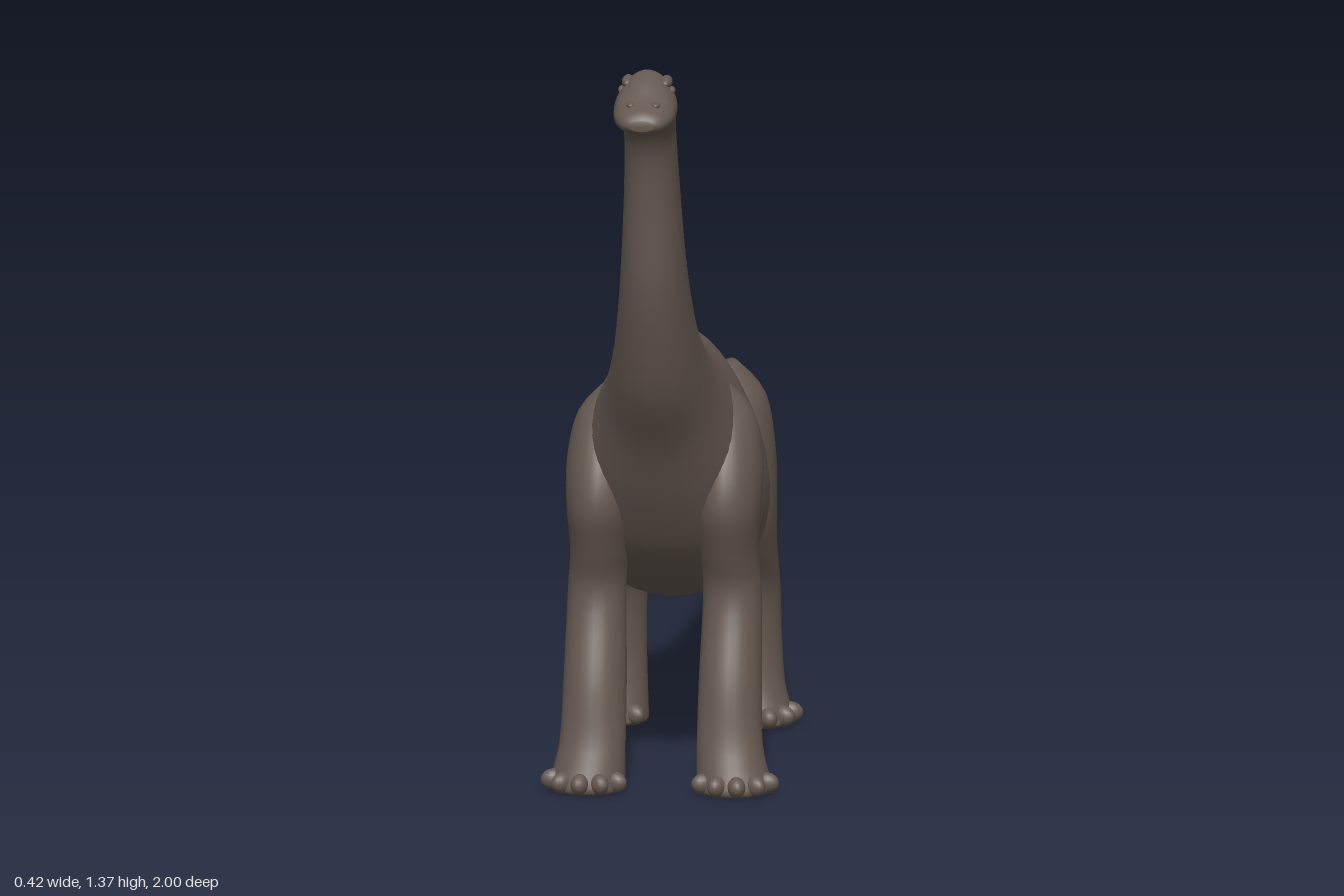
import * as THREE from 'three';

// Catmull-Rom interpolation between rows of numbers
function smoothRows(rows, steps) {
  const out = [];
  for (let i = 0; i < rows.length - 1; i++) {
    const a = rows[Math.max(i - 1, 0)], b = rows[i];
    const c = rows[i + 1], d = rows[Math.min(i + 2, rows.length - 1)];
    for (let s = 0; s < steps; s++) {
      const t = s / steps;
      out.push(b.map((v, k) => {
        const linear = c[k] - a[k];
        const square = 2 * a[k] - 5 * v + 4 * c[k] - d[k];
        const cube = 3 * v - a[k] - 3 * c[k] + d[k];
        return v + 0.5 * t * (linear + t * (square + t * cube));
      }));
    }
  }
  out.push(rows[rows.length - 1]);
  return out;
}

// Closed skin over rings; point(row, angle) gives [x, y, z]
function loft(rows, sides, point) {
  const pos = [], index = [], n = rows.length;
  rows.forEach(r => {
    for (let j = 0; j < sides; j++) pos.push(...point(r, j / sides * Math.PI * 2));
  });
  for (let i = 0; i < n - 1; i++) {
    for (let j = 0; j < sides; j++) {
      const a = i * sides + j, b = i * sides + (j + 1) % sides;
      index.push(a, a + sides, b, b, a + sides, b + sides);
    }
  }
  // end caps
  [0, n - 1].forEach(i => {
    const p = point(rows[i], 0), q = point(rows[i], Math.PI);
    const centre = pos.length / 3;
    pos.push(...p.map((v, k) => (v + q[k]) / 2));
    for (let j = 0; j < sides; j++) {
      const a = i * sides + j, b = i * sides + (j + 1) % sides;
      index.push(centre, i ? b : a, i ? a : b);
    }
  });
  const g = new THREE.BufferGeometry();
  g.setAttribute('position', new THREE.Float32BufferAttribute(pos, 3));
  g.setIndex(index);
  g.computeVertexNormals();
  return g;
}

// Spine rows: top z, top y, bottom z, bottom y, half width, pear shape
const HEAD_AND_NECK = [
  [1.0, 1.308, 1.0, 1.29, 0.022, 0],
  [0.985, 1.322, 0.985, 1.279, 0.04, 0],
  [0.95, 1.337, 0.95, 1.275, 0.052, 0.1],
  [0.9, 1.365, 0.905, 1.272, 0.055, 0.2],
  [0.85, 1.368, 0.875, 1.255, 0.052, 0.15],
  [0.785, 1.32, 0.845, 1.2, 0.046, 0.05],
  [0.715, 1.19, 0.828, 1.1, 0.049, 0.05],
  [0.65, 1.03, 0.815, 0.97, 0.057, 0.08],
  [0.59, 0.92, 0.787, 0.86, 0.067, 0.1]
];
const TRUNK = [
  [0.54, 0.87, 0.74, 0.74, 0.08, 0.12],
  [0.48, 0.83, 0.67, 0.63, 0.1, 0.18],
  [0.43, 0.81, 0.6, 0.5, 0.13, 0.25],
  [0.38, 0.797, 0.53, 0.4, 0.153, 0.27],
  [0.33, 0.785, 0.44, 0.33, 0.168, 0.25],
  [0.27, 0.772, 0.335, 0.295, 0.166, 0.25],
  [0.2, 0.745, 0.23, 0.315, 0.15, 0.25],
  [0.12, 0.71, 0.12, 0.345, 0.135, 0.25],
  [0.04, 0.665, 0.03, 0.362, 0.105, 0.22]
];
const TAIL = [
  [-0.06, 0.61, -0.06, 0.375, 0.069, 0.2],
  [-0.18, 0.55, -0.16, 0.38, 0.049, 0.15],
  [-0.34, 0.47, -0.32, 0.356, 0.038, 0.1],
  [-0.5, 0.408, -0.49, 0.335, 0.029, 0],
  [-0.66, 0.375, -0.66, 0.329, 0.02, 0],
  [-0.8, 0.354, -0.79, 0.333, 0.012, 0],
  [-0.905, 0.327, -0.89, 0.314, 0.008, 0],
  [-0.957, 0.288, -0.945, 0.28, 0.006, 0],
  [-1.0, 0.205, -0.995, 0.205, 0.002, 0]
];

// Leg rows: y, centre x, centre z, radius x, radius z
const FRONT_LEG = [
  [0.71, 0.095, 0.45, 0.012, 0.03],
  [0.66, 0.105, 0.47, 0.05, 0.075],
  [0.58, 0.111, 0.49, 0.063, 0.1],
  [0.5, 0.113, 0.515, 0.06, 0.09],
  [0.42, 0.115, 0.508, 0.052, 0.07],
  [0.34, 0.12, 0.498, 0.052, 0.059],
  [0.2, 0.12, 0.538, 0.056, 0.062],
  [0.1, 0.121, 0.571, 0.058, 0.049],
  [0.05, 0.125, 0.58, 0.062, 0.056],
  [0.015, 0.13, 0.585, 0.067, 0.064],
  [0.003, 0.13, 0.585, 0.066, 0.063],
  [0, 0.13, 0.585, 0.06, 0.058]
];
const HIND_LEG = [
  [0.67, 0.085, 0.12, 0.012, 0.03],
  [0.61, 0.098, 0.12, 0.05, 0.078],
  [0.5, 0.108, 0.12, 0.058, 0.097],
  [0.4, 0.112, 0.12, 0.055, 0.085],
  [0.33, 0.115, 0.095, 0.051, 0.066],
  [0.25, 0.118, 0.052, 0.05, 0.054],
  [0.15, 0.12, 0.04, 0.05, 0.05],
  [0.07, 0.122, 0.042, 0.054, 0.053],
  [0.015, 0.128, 0.046, 0.062, 0.065],
  [0.003, 0.128, 0.046, 0.061, 0.064],
  [0, 0.128, 0.046, 0.056, 0.059]
];

export function createModel() {
  const model = new THREE.Group();
  model.name = 'longNeckedDinosaur';
  const skin = new THREE.MeshStandardMaterial({ color: 0x665a51 });
  skin.name = 'brown skin';

  const add = (parent, name, geometry) => {
    const mesh = new THREE.Mesh(geometry, skin);
    mesh.name = name;
    parent.add(mesh);
    return mesh;
  };
  const ball = new THREE.SphereGeometry(1, 16, 12);
  const blob = (parent, name, p, s, turn = 0) => {
    const mesh = add(parent, name, ball);
    mesh.position.set(...p);
    mesh.scale.set(...s);
    mesh.rotation.y = turn;
  };

  // one continuous skin from snout to tail tip
  const spine = smoothRows([...HEAD_AND_NECK, ...TRUNK, ...TAIL], 5);
  add(model, 'body', loft(spine, 40, ([zt, yt, zb, yb, w, pear], a) => {
    const s = Math.sin(a);
    return [
      w * Math.cos(a) * (1 - pear * s),
      (yt + yb) / 2 + s * (yt - yb) / 2,
      (zt + zb) / 2 + s * (zt - zb) / 2
    ];
  }));

  for (const side of [1, -1]) {
    const label = side > 0 ? 'left' : 'right';

    // brow ridges, eyes and nostrils
    blob(model, label + 'Brow', [side * 0.034, 1.352, 0.872], [0.011, 0.011, 0.027]);
    blob(model, label + 'Eye', [side * 0.044, 1.338, 0.88], [0.007, 0.008, 0.011]);
    blob(model, label + 'Nostril', [side * 0.022, 1.328, 0.955], [0.008, 0.006, 0.013]);

    // legs with five rounded toes on each foot
    for (const [name, rows, splay] of [['FrontLeg', FRONT_LEG, 0.15], ['HindLeg', HIND_LEG, 0.4]]) {
      const leg = new THREE.Group();
      leg.name = label + name;
      add(leg, 'limb', loft(smoothRows(rows, 4), 28, ([y, cx, cz, rx, rz], a) =>
        [side * cx + rx * Math.cos(a), y, cz - rz * Math.sin(a)]));
      const [, cx, cz, rx, rz] = rows[rows.length - 1];
      for (let i = -2; i <= 2; i++) {
        const a = side * (i * 0.58 + splay);
        blob(leg, 'toe', [side * cx + rx * Math.sin(a), 0.019, cz + rz * Math.cos(a)],
          [0.016, 0.019, 0.024], a);
      }
      model.add(leg);
    }
  }
  return model;
}
